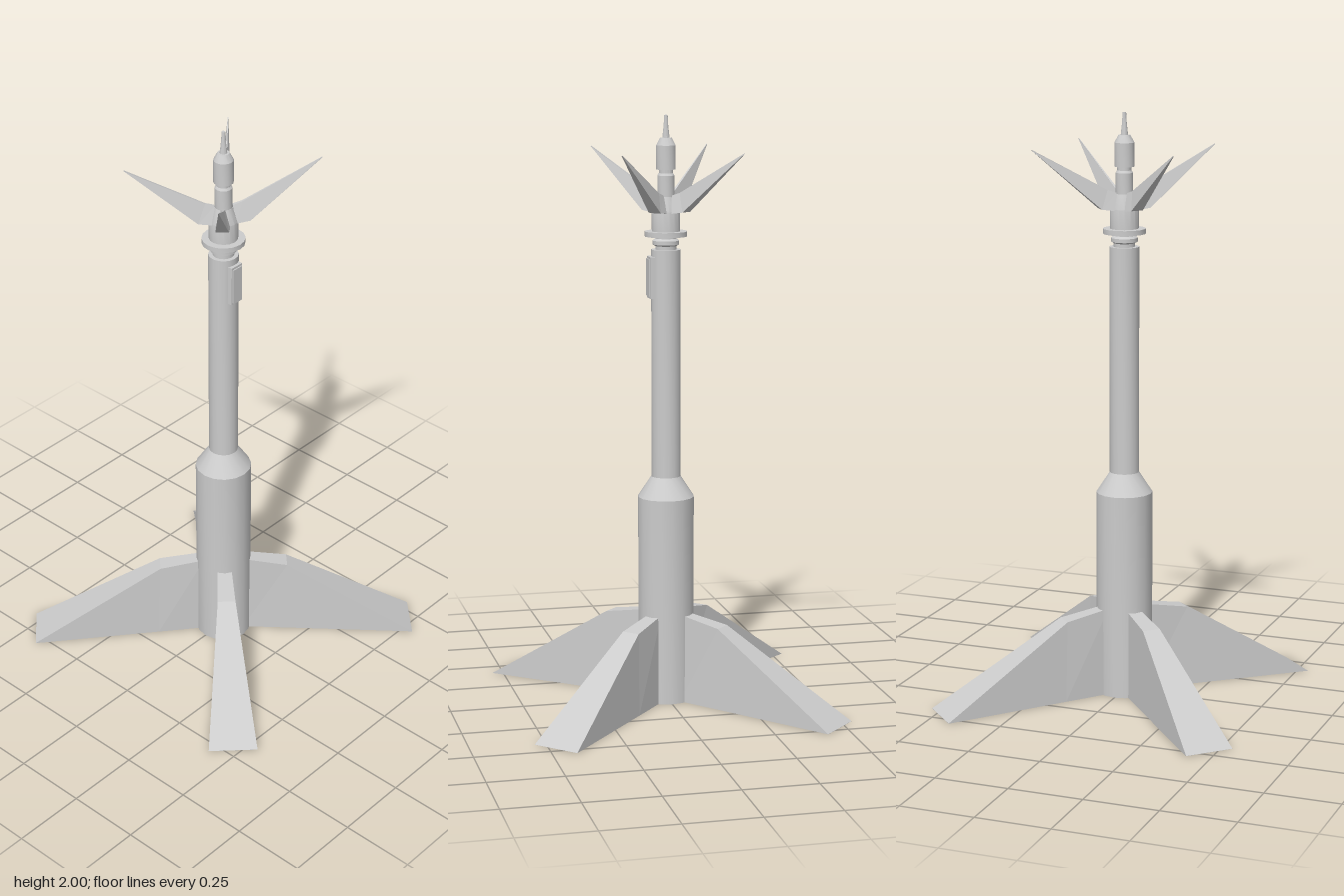
import * as THREE from 'three';
import { toCreasedNormals } from 'three/addons/utils/BufferGeometryUtils.js';

const material = new THREE.MeshStandardMaterial({ color: 0xcccccc });

function addMesh(parent, name, geometry) {
  const mesh = new THREE.Mesh(geometry, material);
  mesh.name = name;
  parent.add(mesh);
  return mesh;
}

// Turned part from [radius, height] points, with sharp profile corners
function turned(points, sides = 16) {
  const profile = points.map(([r, y]) => new THREE.Vector2(r, y));
  return toCreasedNormals(new THREE.LatheGeometry(profile, sides), 0.45);
}

// Blade along +x from sections: [bottom r, bottom y, bottom half width, top r, top y, top half width]
function blade(sections) {
  const rings = sections.map(([br, by, bw, tr, ty, tw]) => [
    [br, by, -bw], [br, by, bw], [tr, ty, tw], [tr, ty, -tw],
  ]);
  const positions = [];
  const quad = (a, b, c, d) => positions.push(...a, ...b, ...c, ...a, ...c, ...d);
  for (let s = 0; s < rings.length - 1; s++) {
    for (let i = 0; i < 4; i++) {
      const j = (i + 1) % 4;
      quad(rings[s][i], rings[s + 1][i], rings[s + 1][j], rings[s][j]);
    }
  }
  const first = rings[0], last = rings[rings.length - 1];
  quad(first[0], first[1], first[2], first[3]);
  quad(last[3], last[2], last[1], last[0]);
  const geometry = new THREE.BufferGeometry();
  geometry.setAttribute('position', new THREE.Float32BufferAttribute(positions, 3));
  geometry.computeVertexNormals();
  return geometry;
}

// Four mirrored copies, each at the given angle from the x axis
function addFour(parent, name, geometry, angle) {
  const group = new THREE.Group();
  group.name = name + 's';
  for (const a of [angle, -angle, Math.PI - angle, Math.PI + angle]) {
    addMesh(group, name, geometry).rotation.y = a;
  }
  parent.add(group);
}

export function createModel() {
  const model = new THREE.Group();
  model.name = 'tower';

  // Thick lower column, sloped shoulder and slim mast
  addMesh(model, 'column', turned([
    [0, 0], [0.096, 0], [0.096, 0.71], [0.05, 0.78], [0.05, 1.553], [0, 1.553],
  ]));

  // Stepped neck below the ring
  addMesh(model, 'neck', turned([
    [0, 1.55], [0.036, 1.55], [0.036, 1.565], [0.045, 1.57], [0.045, 1.583],
    [0.036, 1.59], [0.036, 1.6], [0, 1.6],
  ]));
  addMesh(model, 'ring', turned([
    [0, 1.597], [0.072, 1.597], [0.072, 1.614], [0, 1.614],
  ]));

  // Collar, upper cylinder, capsule and needle
  addMesh(model, 'collar', turned([
    [0, 1.61], [0.048, 1.61], [0.048, 1.68], [0.03, 1.73], [0, 1.73],
  ]));
  addMesh(model, 'upperMast', turned([
    [0, 1.72], [0.029, 1.72], [0.029, 1.80], [0.024, 1.808], [0.024, 1.825], [0, 1.825],
  ]));
  addMesh(model, 'capsule', turned([
    [0, 1.82], [0.033, 1.82], [0.033, 1.9], [0.02, 1.925], [0, 1.925],
  ]));
  addMesh(model, 'needle', turned([
    [0, 1.92], [0.013, 1.92], [0.008, 1.965], [0.006, 2], [0, 2],
  ], 12));

  // Large buttress fins that widen towards the ground
  addFour(model, 'buttressFin', blade([
    [0.07, 0, 0.024, 0.07, 0.307, 0.024],
    [0.235, 0, 0.04, 0.225, 0.28, 0.031],
    [0.677, 0, 0.083, 0.677, 0.0005, 0.083],
  ]), Math.PI / 4);

  // Pointed spikes spreading upwards from the collar
  addFour(model, 'spike', blade([
    [0.035, 1.675, 0.024, 0.03, 1.735, 0.006],
    [0.085, 1.682, 0.022, 0.06, 1.745, 0.004],
    [0.32, 1.884, 0.001, 0.319, 1.886, 0.001],
  ]), 0.69);

  // Control box on the front of the mast, with a raised panel
  const box = addMesh(model, 'controlBox', new THREE.BoxGeometry(0.05, 0.14, 0.03));
  box.position.set(0, 1.46, 0.044);
  const panel = addMesh(model, 'boxPanel', new THREE.BoxGeometry(0.042, 0.125, 0.006));
  panel.position.set(0, 1.46, 0.06);

  return model;
}
